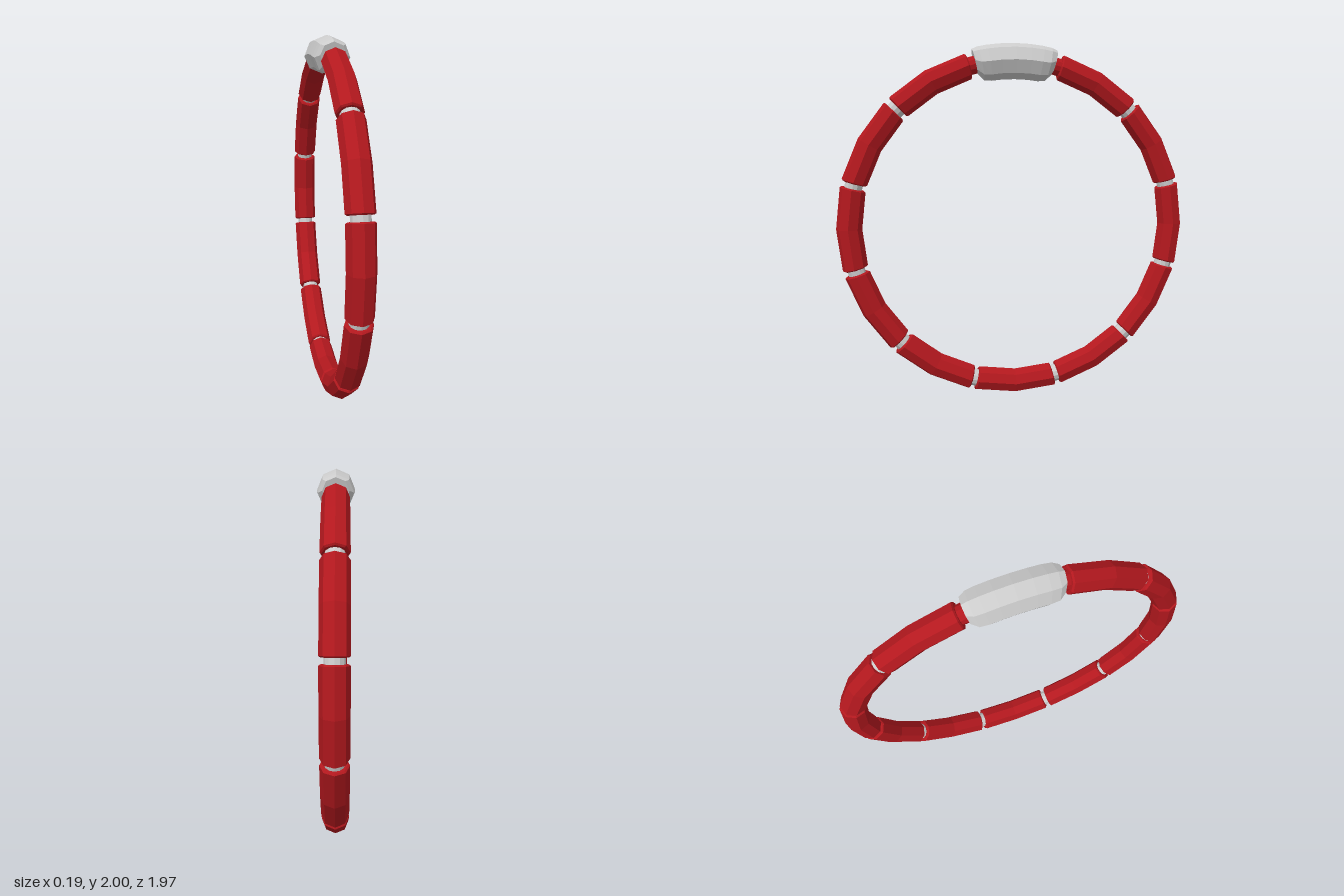
import * as THREE from 'three';

const CENTRE_Y = 0.99;
const RING = 0.917; // radius of the ring's centre line
const grey = new THREE.MeshStandardMaterial({ color: 0xcccccc, flatShading: true });
const red = new THREE.MeshStandardMaterial({ color: 0xb3181e, flatShading: true });

// Curved bar swept around the ring: sections are [degrees from top, centre radius, section radius].
// A section radius of 0 closes the end.
function sweptBar(name, sections, sides, material) {
  const pos = [], index = [];
  for (const [deg, r0, rad] of sections) {
    const a = THREE.MathUtils.degToRad(deg);
    for (let j = 0; j < sides; j++) {
      const t = (j / sides) * Math.PI * 2;
      const r = r0 + rad * Math.cos(t);
      pos.push(rad * Math.sin(t), CENTRE_Y + r * Math.cos(a), r * Math.sin(a));
    }
  }
  for (let i = 0; i < sections.length - 1; i++) {
    for (let j = 0; j < sides; j++) {
      const k = (j + 1) % sides;
      const a = i * sides + j, b = i * sides + k, c = a + sides, d = b + sides;
      if (sections[i][2] > 0) index.push(a, c, b);
      if (sections[i + 1][2] > 0) index.push(b, c, d);
      else if (sections[i][2] > 0) index.push(b, c, d);
    }
  }
  // at a closed start only the fan (b, c, d) is needed, at a closed end only (a, c, b)
  const indexed = new THREE.BufferGeometry();
  indexed.setAttribute('position', new THREE.Float32BufferAttribute(pos, 3));
  indexed.setIndex(index);
  const geometry = indexed.toNonIndexed();
  geometry.computeVertexNormals();
  const mesh = new THREE.Mesh(geometry, material);
  mesh.name = name;
  return mesh;
}

export function createModel() {
  const ring = new THREE.Group();
  ring.name = 'segmentedRing';

  // eleven red links, each bent once in the middle with slightly bevelled ends
  for (let i = 1; i < 12; i++) {
    const m = i * 30;
    ring.add(sweptBar('link', [
      [m - 14.1, RING, 0], [m - 14.1, RING, 0.061], [m - 13.7, RING, 0.07],
      [m, RING, 0.07],
      [m + 13.7, RING, 0.07], [m + 14.1, RING, 0.061], [m + 14.1, RING, 0],
    ], 8, red));
  }

  // short pins bridging the gaps; the two beside the clasp are red
  for (let i = 0; i < 12; i++) {
    const m = 15 + i * 30;
    const besideClasp = i === 0 || i === 11;
    ring.add(sweptBar('connector', [
      [m - 2, RING, 0], [m - 2, RING, 0.048], [m + 2, RING, 0.048], [m + 2, RING, 0],
    ], 12, besideClasp ? red : grey));
  }

  // thicker clasp at the top, tapering at both ends
  const half = [[0, 0.913, 0.097], [5, 0.913, 0.097], [9, 0.913, 0.097], [11.8, 0.917, 0.092],
    [13.7, 0.935, 0.068], [13.7, 0.935, 0]];
  const mirrored = half.slice(1).reverse().map(([a, r, s]) => [-a, r, s]);
  ring.add(sweptBar('clasp', [...mirrored, ...half], 8, grey));
  return ring;
}
